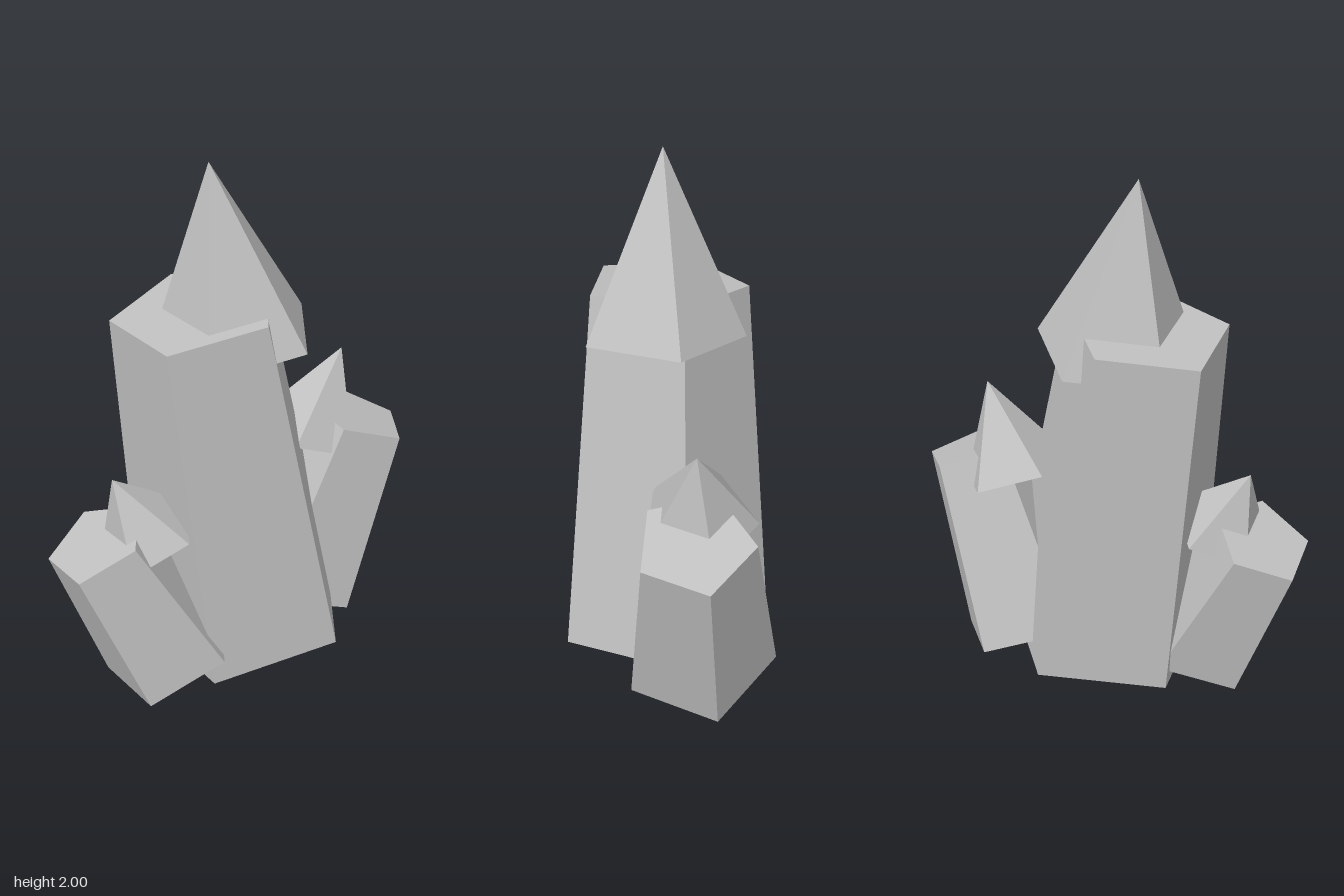
import * as THREE from 'three';

const stone = new THREE.MeshStandardMaterial({ color: 0xc0c0c0 });
stone.name = 'grey crystal';

// One faceted mesh, flat face to the front, leaning about z
function facet(name, geometry, y, lean) {
  const flat = geometry.rotateY(Math.PI).toNonIndexed();
  flat.computeVertexNormals();
  const mesh = new THREE.Mesh(flat, stone);
  mesh.name = name;
  mesh.position.y = y;
  mesh.rotation.z = THREE.MathUtils.degToRad(lean);
  return mesh;
}

// Tapered five-sided shaft with a pointed tip set straight above its middle
function crystal({ name, at, radius, height, lean }) {
  const group = new THREE.Group();
  group.name = name;
  group.position.set(...at);
  const top = radius * 0.72;
  group.add(
    facet('shaft', new THREE.CylinderGeometry(top, radius, height, 5), 0, lean),
    facet('tip', new THREE.ConeGeometry(top, height * 0.48, 5), height * 0.64, lean)
  );
  return group;
}

export function createModel() {
  const model = new THREE.Group();
  model.name = 'crystalCluster';
  const crystals = [
    { name: 'mainCrystal', at: [-0.048, 0.78, 0.044], radius: 0.423, height: 1.388, lean: 8 },
    { name: 'rightCrystal', at: [-0.443, 0.394, 0.191], radius: 0.271, height: 0.626, lean: 25 },
    { name: 'leftCrystal', at: [0.421, 0.467, -0.12], radius: 0.2995, height: 0.763, lean: -20 },
  ];
  for (const c of crystals) model.add(crystal(c));
  return model;
}
